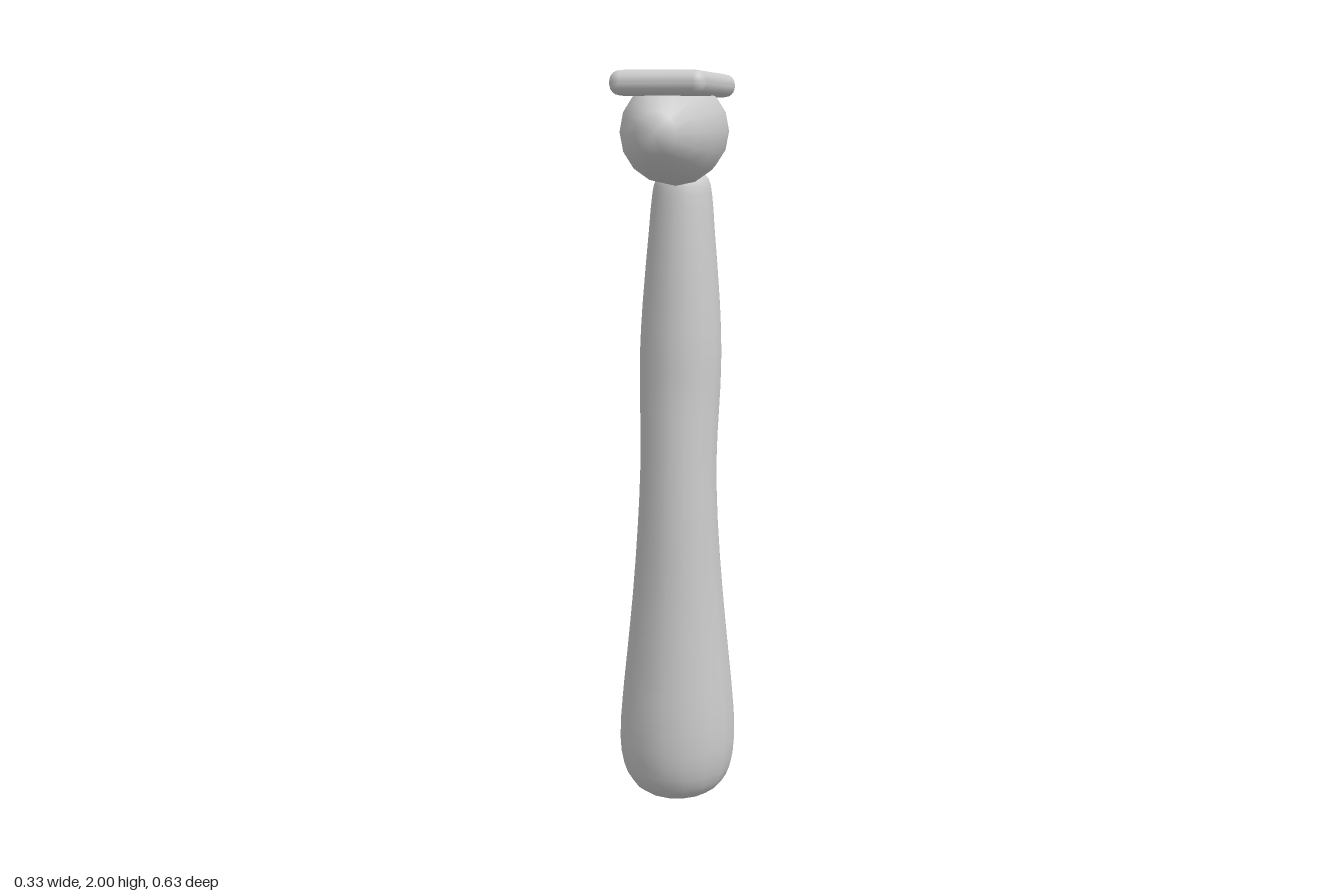
import * as THREE from 'three';
import { mergeVertices } from 'three/addons/utils/BufferGeometryUtils.js';
import { RoundedBoxGeometry } from 'three/addons/geometries/RoundedBoxGeometry.js';

// Grip sections from bottom to top: radius, height, z centre
const GRIP = [
  [0, 0, -0.105], [0.07, 0.012, -0.105], [0.125, 0.045, -0.105], [0.152, 0.1, -0.105],
  [0.163, 0.18, -0.106], [0.156, 0.3, -0.103], [0.146, 0.4, -0.101], [0.126, 0.6, -0.096],
  [0.111, 0.8, -0.09], [0.105, 0.95, -0.093], [0.106, 1.05, -0.101], [0.11, 1.17, -0.115],
  [0.111, 1.27, -0.12], [0.105, 1.4, -0.124], [0.088, 1.6, -0.125], [0.08, 1.69, -0.127],
  [0.07, 1.73, -0.127], [0.045, 1.75, -0.127], [0, 1.756, -0.127],
];

// Lathe whose rings are slid along a bent centre line
function bentLathe(sections, sides, tilt) {
  const curve = new THREE.CatmullRomCurve3(sections.map((s) => new THREE.Vector3(...s)), false, 'centripetal');
  const rings = curve.getPoints((sections.length - 1) * 2);
  const profile = rings.map((p) => new THREE.Vector2(Math.max(p.x, 0), p.y));
  const geo = new THREE.LatheGeometry(profile, sides, tilt);
  const pos = geo.attributes.position;
  for (let i = 0; i < pos.count; i++) {
    const ring = rings[i % rings.length];
    pos.setX(i, pos.getX(i) + 0.005 * ring.y);
    pos.setZ(i, pos.getZ(i) + ring.z);
  }
  geo.deleteAttribute('uv');
  geo.deleteAttribute('normal');
  const merged = mergeVertices(geo, 1e-5);
  merged.computeVertexNormals();
  return merged;
}

export function createModel() {
  const group = new THREE.Group();
  const grey = new THREE.MeshStandardMaterial({ color: 0xcccccc });
  grey.name = 'grey';

  const add = (name, geometry, x = 0, y = 0, z = 0) => {
    const mesh = new THREE.Mesh(geometry, grey);
    mesh.name = name;
    mesh.position.set(x, y, z);
    group.add(mesh);
  };

  // Contoured grip
  add('handle', bentLathe(GRIP, 16, -0.077));

  // Long egg-shaped head, poles along z
  const head = new THREE.SphereGeometry(1, 16, 8);
  head.rotateX(Math.PI / 2);
  head.scale(0.131, 0.136, 0.313);
  add('head', head, 0.012, 1.853, 0);

  // Rounded flat plate on top
  add('topPlate', new RoundedBoxGeometry(0.235, 0.06, 0.573, 2, 0.028), 0.011, 1.97, -0.006);

  return group;
}
